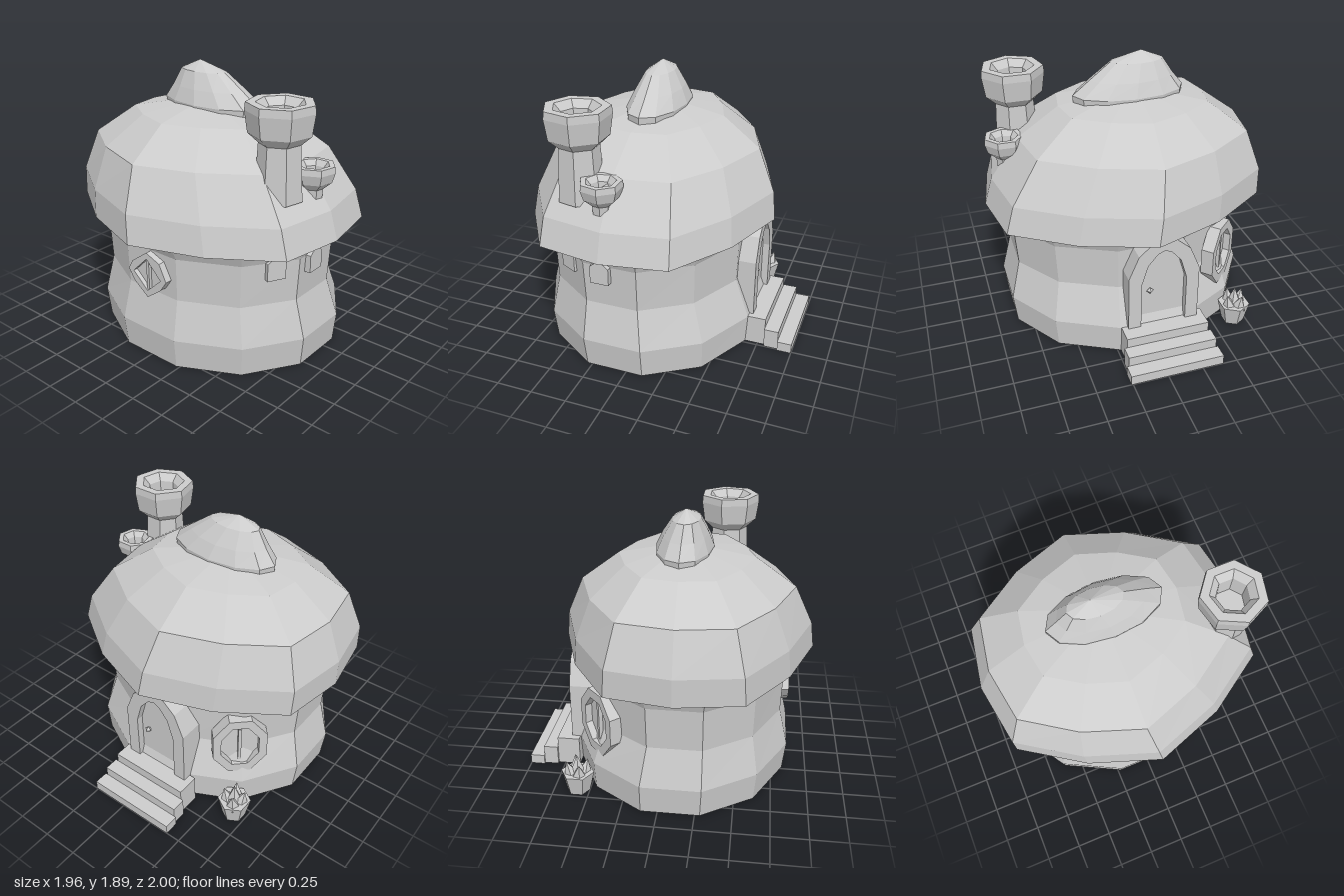
import * as THREE from 'three';

const stone = new THREE.MeshStandardMaterial({ color: 0xcccccc, flatShading: true, side: THREE.DoubleSide });
stone.name = 'plain grey';

function add(parent, name, geometry, x = 0, y = 0, z = 0) {
  const mesh = new THREE.Mesh(geometry, stone);
  mesh.name = name;
  mesh.position.set(x, y, z);
  parent.add(mesh);
  return mesh;
}

// Unit outline points [x, z], running from the front towards +x
const circle = (n, turn = 0) => Array.from({ length: n }, (_, i) => {
  const a = (i / n) * Math.PI * 2 + turn;
  return [Math.sin(a), Math.cos(a)];
});

// Skin over rings given as [y, centreX, centreZ, radiusX, radiusZ]
function loft(outline, rings) {
  const n = outline.length, pos = [], index = [];
  for (const [y, cx, cz, rx, rz] of rings)
    for (const [x, z] of outline) pos.push(cx + x * rx, y, cz + z * rz);
  for (let r = 0; r < rings.length - 1; r++)
    for (let i = 0; i < n; i++) {
      const a = r * n + i, b = r * n + (i + 1) % n;
      index.push(a, b, b + n, a, b + n, a + n);
    }
  const g = new THREE.BufferGeometry();
  g.setAttribute('position', new THREE.Float32BufferAttribute(pos, 3));
  g.setIndex(index);
  g.computeVertexNormals();
  return g;
}

const shapeOf = pts => new THREE.Shape(pts.map(([x, y]) => new THREE.Vector2(x, y)));

// Flat plate, optionally with an opening
function plate(pts, depth, hole) {
  const s = shapeOf(pts);
  if (hole) s.holes.push(shapeOf(hole));
  return new THREE.ExtrudeGeometry(s, { depth, bevelEnabled: false });
}

// Pointed arch standing on y = 0
const arch = (w, side, top) => [
  [-w, 0], [w, 0], [w, side], [w * 0.72, side + (top - side) * 0.6], [w * 0.3, top - 0.02], [0, top],
  [-w * 0.3, top - 0.02], [-w * 0.72, side + (top - side) * 0.6], [-w, side]];

// Framed window facing +z of its own group
function windowUnit(parent, name, frame, opening, height, depth) {
  const g = new THREE.Group();
  g.name = name;
  add(g, 'windowFrame', plate(frame, depth, opening));
  add(g, 'windowPane', plate(opening, 0.008), 0, 0, depth * 0.35);
  add(g, 'windowBar', new THREE.BoxGeometry(0.022, height, 0.03), 0, 0, depth * 0.6);
  parent.add(g);
  return g;
}

// Chimney with a flared, hollow pot
function chimney(parent, name, x, z, sides, profile) {
  const pts = profile.map(([r, y]) => new THREE.Vector2(r, y));
  add(parent, name, new THREE.LatheGeometry(pts, sides), x, 0, z);
}

export function createModel() {
  const house = new THREE.Group();
  house.name = 'roundCottage';

  // Twelve-sided wall, open underneath, narrow at the waist
  add(house, 'wall', loft(circle(12, Math.PI / 12), [
    [0, 0, 0.085, 0.88, 0.772], [0.21, 0, 0.09, 0.905, 0.79], [0.48, 0, 0.11, 0.832, 0.705],
    [0.78, 0, 0.11, 0.853, 0.715], [0.95, 0, 0.115, 0.92, 0.79]]));

  // Domed roof leaning slightly to -x, with a flat underside
  const quarter = [[0, 1], [0.497, 0.81], [0.923, 0.5], [1, 0]];
  const half = [...quarter, ...quarter.slice(0, 3).reverse().map(([x, z]) => [x, -z])];
  const eave = [...half, ...half.slice(1, 6).reverse().map(([x, z]) => [-x, z])];
  add(house, 'roof', loft(eave, [
    [0.89, 0, 0.115, 0.78, 0.66], [0.888, 0, 0.115, 0.977, 0.885], [1.08, -0.03, 0.115, 0.95, 0.86],
    [1.36, -0.08, 0.115, 0.8, 0.735], [1.56, -0.09, 0.108, 0.52, 0.465], [1.65, -0.1, 0.1, 0.001, 0.001]]));

  // Long pointed crown on the roof
  add(house, 'roofCrown', loft(circle(12), [
    [1.56, -0.065, 0.095, 0.39, 0.19], [1.625, -0.065, 0.095, 0.395, 0.195],
    [1.72, -0.09, 0.1, 0.295, 0.155], [1.83, -0.13, 0.11, 0.185, 0.095], [1.895, -0.16, 0.11, 0.001, 0.001]]));

  // Chimneys
  chimney(house, 'largeChimney', 0.685, 0.35, 7, [
    [0.155, 1.18], [0.135, 1.54], [0.2, 1.6], [0.22, 1.74], [0.215, 1.79], [0.155, 1.79], [0.11, 1.74], [0.1, 1.6], [0.001, 1.6]]);
  chimney(house, 'smallChimney', 0.805, 0.15, 7, [
    [0.001, 1.16], [0.06, 1.16], [0.065, 1.22], [0.12, 1.27], [0.14, 1.335], [0.135, 1.375], [0.1, 1.375], [0.07, 1.34], [0.06, 1.27], [0.001, 1.27]]);

  // Diamond window at the front
  const front = windowUnit(house, 'frontWindow',
    [[0, -0.16], [0.12, -0.07], [0.172, 0.005], [0.115, 0.12], [0, 0.165], [-0.13, 0.07], [-0.168, 0.005], [-0.12, -0.07]],
    [[0, -0.11], [0.122, 0], [0, 0.12], [-0.122, 0]], 0.22, 0.06);
  front.position.set(0, 0.61, 0.785);

  // Oval window beside the door
  const oval = (w, h) => circle(8, Math.PI / 8).map(([a, b]) => [b * w, a * h]);
  const side = windowUnit(house, 'ovalWindow', oval(0.2, 0.25), oval(0.14, 0.18), 0.28, 0.09);
  side.position.set(-0.545, 0.52, -0.385);
  side.rotation.y = Math.PI + 0.76;

  // Small gabled vents on the +x side
  const gable = [[-0.065, -0.08], [0.065, -0.08], [0.065, 0.04], [0, 0.09], [-0.065, 0.04]];
  for (const [x, z, turn] of [[0.77, 0.165, Math.PI / 2], [0.67, 0.4, 1.1]]) {
    const vent = add(house, 'gabledVent', plate(gable, 0.09), x, 0.745, z);
    vent.rotation.y = turn;
  }

  // Arched door at the back
  const door = new THREE.Group();
  door.name = 'door';
  door.position.set(-0.065, 0.2, -0.5);
  door.rotation.y = Math.PI;
  const opening = arch(0.16, 0.35, 0.6).map(([x, y]) => [x, y + 0.005]);
  add(door, 'doorFrame', plate(arch(0.25, 0.42, 0.7), 0.2, opening));
  add(door, 'doorLeaf', plate(opening, 0.03), 0, 0, 0.12);
  add(door, 'doorKnob', new THREE.OctahedronGeometry(0.025), -0.09, 0.28, 0.17);
  house.add(door);

  // Three steps, each lower one wider
  [[0.33, 0.07, -0.95], [0.315, 0.14, -0.85], [0.295, 0.21, -0.72]].forEach(([w, h, z], i) => {
    add(house, 'step', new THREE.BoxGeometry(w * 2, h, i === 2 ? 0.16 : 0.1), -0.068, h / 2, z);
  });

  // Planter with pointed leaves
  const planter = new THREE.Group();
  planter.name = 'planter';
  planter.position.set(-0.66, 0, -0.58);
  add(planter, 'pot', new THREE.CylinderGeometry(0.115, 0.08, 0.15, 6), 0, 0.075, 0);
  for (let i = 0; i < 4; i++) {
    const a = i * Math.PI / 2 + 0.4;
    const leaf = add(planter, 'leaf', new THREE.ConeGeometry(0.055, 0.11, 5), Math.sin(a) * 0.06, 0.185, Math.cos(a) * 0.06);
    leaf.rotation.set(Math.cos(a) * 0.25, 0, -Math.sin(a) * 0.25);
  }
  add(planter, 'leaf', new THREE.ConeGeometry(0.06, 0.14, 5), 0, 0.21, 0);
  house.add(planter);

  return house;
}
